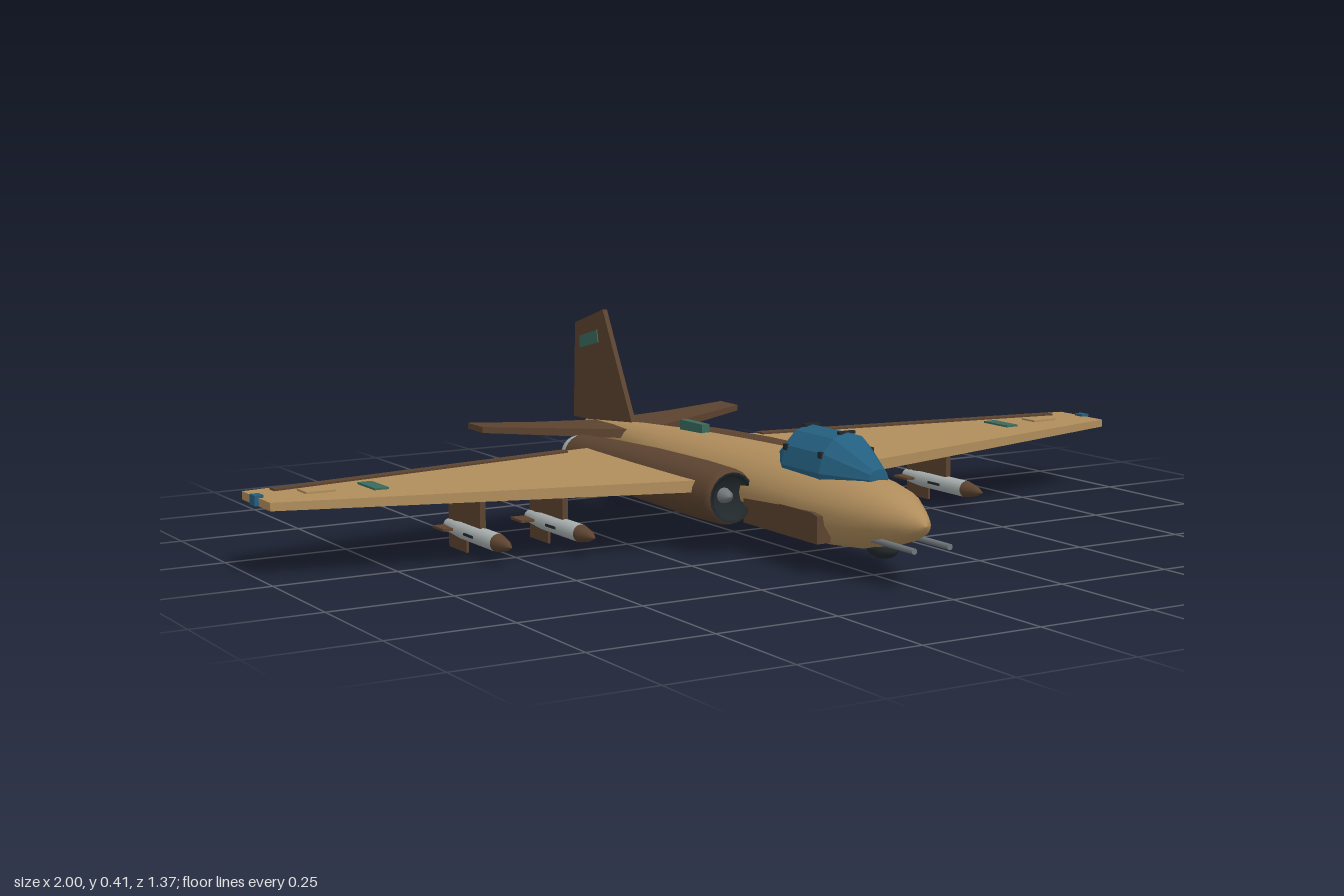
import * as THREE from 'three';

const paint = (name, color, flat = false) => {
  const m = new THREE.MeshStandardMaterial({ color, flatShading: flat });
  m.name = name;
  return m;
};

export function createModel() {
  const model = new THREE.Group();
  model.name = 'attackJet';
  const tan = paint('sandTan', 0xb08d5c);
  const brown = paint('camouflageBrown', 0x5c4330);
  const blue = paint('canopyBlue', 0x245f80, true);
  const green = paint('markingGreen', 0x3a6a5c);
  const grey = paint('storeGrey', 0xa9b0b0);
  const steel = paint('gunSteel', 0x70767a);
  const dark = paint('intakeDark', 0x22292c);

  const add = (name, geo, mat, x = 0, y = 0, z = 0, parent = model) => {
    const m = new THREE.Mesh(geo, mat);
    m.name = name;
    m.position.set(x, y, z);
    parent.add(m);
    return m;
  };
  const box = (name, w, h, d, mat, x, y, z, parent) =>
    add(name, new THREE.BoxGeometry(w, h, d), mat, x, y, z, parent);

  // Closed body through elliptical sections [z, halfWidth, bottom, top], z rising
  const loft = (sections, n) => {
    const pos = [], idx = [];
    for (const [z, w, b, t] of sections)
      for (let k = 0; k < n; k++) {
        const a = (k / n) * Math.PI * 2;
        pos.push(w * Math.cos(a), (b + t) / 2 + ((t - b) / 2) * Math.sin(a), z);
      }
    for (let i = 0; i < sections.length - 1; i++)
      for (let k = 0; k < n; k++) {
        const a = i * n + k, b = i * n + (k + 1) % n;
        idx.push(a, b, a + n, b, b + n, a + n);
      }
    const g = new THREE.BufferGeometry();
    g.setAttribute('position', new THREE.Float32BufferAttribute(pos, 3));
    g.setIndex(idx);
    g.computeVertexNormals();
    return g;
  };

  // Round body about the z axis from points [radius, z]
  const turned = (pts, n = 20) =>
    new THREE.LatheGeometry(pts.map(([r, z]) => new THREE.Vector2(r, z)), n).rotateX(Math.PI / 2);

  // Slab with an [x, z] outline; bottom and top heights depend on the span position
  const slab = (pts, s, heights) => {
    const shape = new THREE.Shape(pts.map(([x, z]) => new THREE.Vector2(x * s, -z)));
    const g = new THREE.ExtrudeGeometry(shape, { depth: 1, bevelEnabled: false }).rotateX(-Math.PI / 2);
    const p = g.attributes.position;
    for (let i = 0; i < p.count; i++) {
      const [b, t] = heights(Math.abs(p.getX(i)));
      p.setY(i, p.getY(i) > 0.5 ? t : b);
    }
    g.computeVertexNormals();
    return g;
  };

  // Upright plate with a [z, y] outline, centred on x = 0
  const upright = (pts, thick) => {
    const shape = new THREE.Shape(pts.map(([z, y]) => new THREE.Vector2(-z, y)));
    return new THREE.ExtrudeGeometry(shape, { depth: thick, bevelEnabled: false })
      .translate(0, 0, -thick / 2).rotateY(Math.PI / 2);
  };

  // Fuselage
  add('fuselage', loft([
    [-0.625, 0, 0.135, 0.135], [-0.624, 0.018, 0.113, 0.157], [-0.4, 0.047, 0.09, 0.176],
    [-0.2, 0.075, 0.066, 0.188], [0, 0.092, 0.047, 0.195], [0.2, 0.104, 0.04, 0.2],
    [0.4, 0.101, 0.041, 0.193], [0.5, 0.083, 0.05, 0.186], [0.57, 0.064, 0.067, 0.175],
    [0.625, 0.036, 0.085, 0.153], [0.655, 0.018, 0.1, 0.137], [0.666, 0, 0.119, 0.119],
  ], 20), tan);
  box('dorsalMarking', 0.018, 0.022, 0.09, green, 0, 0.197, -0.157);

  // Canopy with small frame fittings
  add('canopy', loft([
    [0.199, 0, 0.185, 0.185], [0.2, 0.022, 0.165, 0.206], [0.28, 0.066, 0.112, 0.26],
    [0.41, 0.066, 0.112, 0.26], [0.514, 0.022, 0.165, 0.204], [0.515, 0, 0.185, 0.185],
  ], 12), blue);
  for (const z of [0.285, 0.405]) {
    box('canopyTopFrame', 0.036, 0.006, 0.009, dark, 0, 0.259, z);
    for (const s of [-1, 1]) box('canopySideFrame', 0.012, 0.012, 0.012, dark, s * 0.055, 0.22, z);
  }

  // Chin sensor
  add('chinSensor', new THREE.SphereGeometry(0.03, 12, 8).scale(0.85, 0.65, 1.35), dark, 0, 0.057, 0.528);

  // Tail fin
  add('tailFin', upright([[-0.41, 0.16], [-0.545, 0.41], [-0.675, 0.37], [-0.685, 0.155]], 0.011), brown);
  add('finMarking', upright([[-0.57, 0.363], [-0.65, 0.342], [-0.65, 0.315], [-0.565, 0.335]], 0.016), green);

  const wingHeights = (x) => {
    const t = Math.max(0, (x - 0.15) / 0.84);
    return [0.121 + 0.015 * t, 0.146 + 0.006 * t];
  };
  const onWing = (x) => [wingHeights(x)[1] - 0.003, wingHeights(x)[1] + 0.004];

  for (const s of [-1, 1]) {
    const side = s > 0 ? 'left' : 'right';

    // Wing with flap strip and painted panels
    add(side + 'Wing', slab([[0.05, 0.187], [0.992, -0.022], [0.992, -0.167], [0.19, -0.307], [0.05, -0.32]], s, wingHeights), tan);
    add(side + 'FlapStrip', slab([[0.24, -0.27], [0.94, -0.135], [0.94, -0.158], [0.24, -0.296]], s, onWing), brown);
    add(side + 'WingMarking', slab([[0.742, -0.05], [0.772, -0.05], [0.772, -0.132], [0.742, -0.132]], s, onWing), green);
    add(side + 'WingPanel', slab([[0.84, -0.075], [0.9, -0.075], [0.9, -0.12], [0.84, -0.12]], s, onWing), tan);
    box(side + 'TipLight', 0.018, 0.02, 0.026, blue, s * 0.991, 0.147, -0.093);

    // Engine nacelle, intake and exhaust
    const engine = new THREE.Group();
    engine.name = side + 'Engine';
    engine.position.set(s * 0.138, 0.117, 0);
    model.add(engine);
    add('nacelle', turned([[0.039, -0.405], [0.043, -0.4], [0.05, -0.27], [0.056, -0.1], [0.058, 0.1],
      [0.056, 0.2], [0.052, 0.214], [0.047, 0.214]]), brown, 0, 0, 0, engine);
    add('intakeDuct', turned([[0.05, 0.216], [0.043, 0.216], [0.041, 0.185], [0, 0.185]]), dark, 0, 0, 0, engine);
    add('intakeSpinner', turned([[0.016, 0.184], [0.012, 0.2], [0, 0.21]], 12), steel, 0, 0, 0, engine);
    add('exhaustRing', turned([[0.031, -0.4], [0.033, -0.424], [0.038, -0.424], [0.041, -0.385]]), grey, 0, 0, 0, engine);
    add('exhaustCore', turned([[0, -0.412], [0.033, -0.412]]), dark, 0, 0, 0, engine);

    // Tailplane with raised tips
    add(side + 'Tailplane', slab([[0.02, -0.385], [0.065, -0.4], [0.322, -0.507], [0.322, -0.58], [0.17, -0.556], [0.02, -0.556]], s,
      (x) => [0.143 + 0.066 * x, 0.163 + 0.044 * x]), brown);

    // Gun barrel and cheek fairing
    const gun = new THREE.CylinderGeometry(0.006, 0.006, 0.14, 10).rotateX(Math.PI / 2);
    add(side + 'GunBarrel', gun, steel, s * 0.04, 0.081, 0.615);
    add(side + 'CheekFairing', upright([[0.46, 0.115], [0.44, 0.12], [0.2, 0.118], [0.2, 0.062], [0.46, 0.062]], 0.03),
      brown, s * 0.087);

    // Underwing stores on pylons
    for (const [x, span] of [[0.38, 0.09], [0.56, 0.074]]) {
      const store = new THREE.Group();
      store.name = side + 'Store';
      store.position.set(s * x, 0.043, 0);
      model.add(store);
      box('pylon', 0.012, 0.075, 0.126, brown, 0, 0.052, -0.083, store);
      add('storeBody', turned([[0, -0.174], [0.013, -0.174], [0.018, -0.11], [0.018, 0.045]], 14), grey, 0, 0, 0, store);
      add('storeNose', turned([[0.018, 0.045], [0.011, 0.08], [0, 0.105]], 14), brown, 0, 0, 0, store);
      box('horizontalFins', span, 0.005, 0.05, brown, 0, 0, -0.147, store);
      box('verticalFins', 0.005, 0.086, 0.08, brown, 0, 0, -0.13, store);
      box('bodyRail', 0.04, 0.005, 0.04, dark, 0, 0, -0.048, store);
    }
  }
  return model;
}
